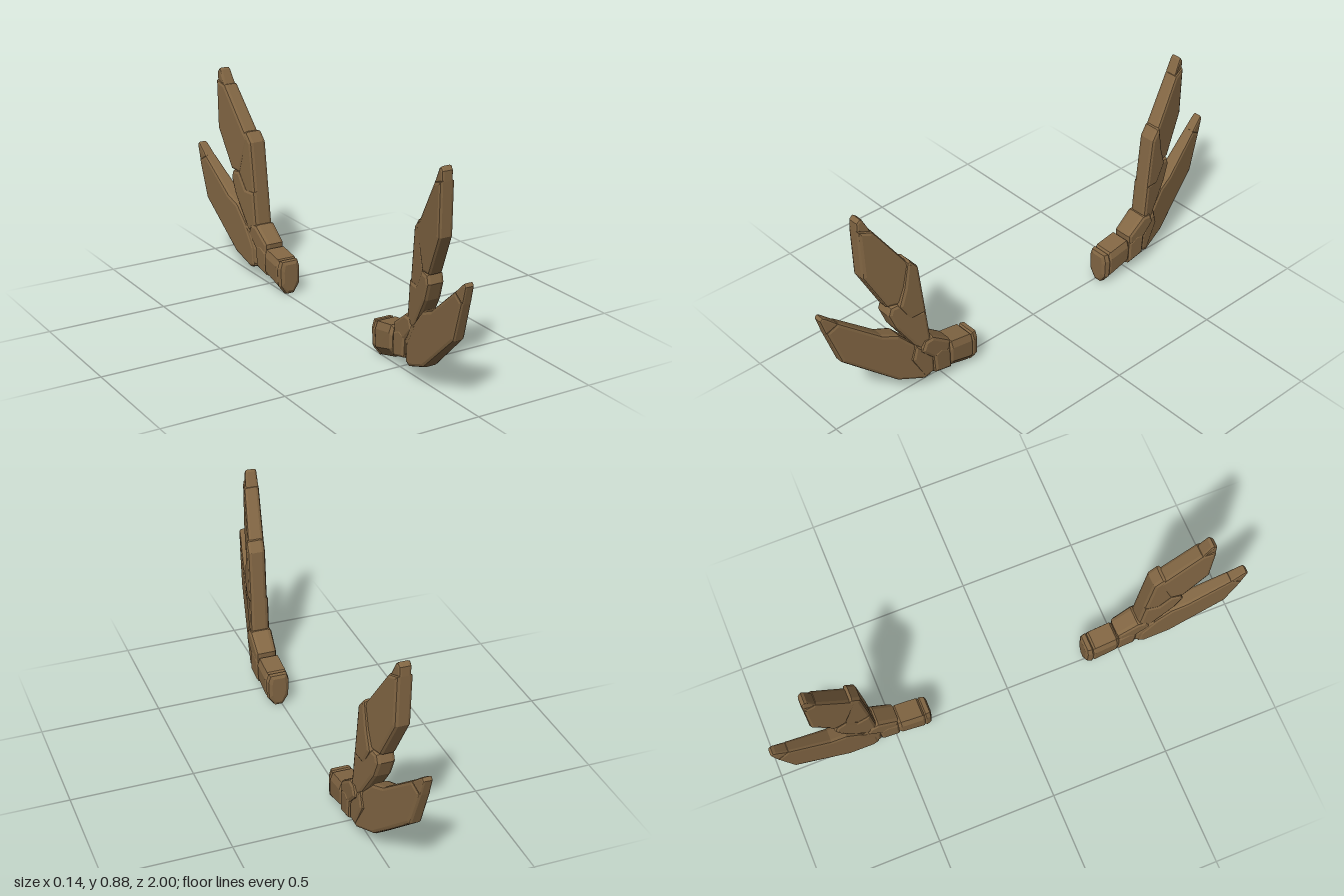
import * as THREE from 'three';
import { ConvexGeometry } from 'three/addons/geometries/ConvexGeometry.js';

const bark = new THREE.MeshStandardMaterial({ color: 0x836744 });
bark.name = 'brown shell';

// Bevelled plate: outline of [z, y] points; centre and half width in x run linearly in z.
// near and far are [z, centre, half width].
function plate(name, side, outline, near, far, bevel = 0.014) {
  const shape = new THREE.Shape(outline.map(([z, y]) => new THREE.Vector2(z * side, y)));
  const geo = new THREE.ExtrudeGeometry(shape, {
    depth: 1, bevelEnabled: true, bevelThickness: 0.35, bevelSize: bevel,
    bevelOffset: -bevel, bevelSegments: 2,
  });
  geo.translate(0, 0, -0.5);
  geo.rotateY(-Math.PI / 2);
  const p = geo.attributes.position;
  for (let i = 0; i < p.count; i++) {
    const t = (Math.abs(p.getZ(i)) - near[0]) / (far[0] - near[0]);
    const centre = THREE.MathUtils.lerp(near[1], far[1], t);
    const half = THREE.MathUtils.lerp(near[2], far[2], t);
    p.setX(i, centre + (p.getX(i) / 0.85) * half);
  }
  geo.computeVertexNormals();
  const mesh = new THREE.Mesh(geo, bark);
  mesh.name = name;
  return mesh;
}

// Block with a narrow keel, from sections of [z, bottom, top, half width].
function block(name, side, sections) {
  const pts = [];
  for (const [z, bottom, top, half] of sections) {
    for (const s of [-1, 1]) {
      for (const [k, y] of [[0.36, bottom], [0.95, bottom + 0.038], [1, top - 0.03], [0.8, top]]) {
        pts.push(new THREE.Vector3(0.015 + s * k * half, y, z * side));
      }
    }
  }
  const mesh = new THREE.Mesh(new ConvexGeometry(pts), bark);
  mesh.name = name;
  return mesh;
}

function limb(side) {
  const g = new THREE.Group();
  g.name = side > 0 ? 'frontLimb' : 'backLimb';

  // Root block and its end cap
  g.add(block('rootCap', side, [
    [0.343, 0.02, 0.135, 0.03], [0.35, 0.006, 0.148, 0.044], [0.368, 0.002, 0.15, 0.049], [0.376, 0.012, 0.14, 0.046],
  ]));
  g.add(block('rootBlock', side, [
    [0.37, 0.016, 0.138, 0.044], [0.382, 0.008, 0.152, 0.05], [0.475, 0.033, 0.168, 0.05], [0.488, 0.045, 0.155, 0.043],
  ]));

  // Joint pieces
  g.add(block('jointCore', side, [[0.46, 0.055, 0.14, 0.036], [0.6, 0.08, 0.2, 0.038]]));
  g.add(plate('jointLower', side,
    [[0.482, 0.045], [0.565, 0.065], [0.572, 0.16], [0.53, 0.175], [0.482, 0.15]],
    [0.48, 0.018, 0.046], [0.58, 0.018, 0.05]));
  g.add(plate('jointUpper', side,
    [[0.485, 0.14], [0.56, 0.13], [0.625, 0.2], [0.605, 0.245], [0.565, 0.248], [0.482, 0.185]],
    [0.48, 0.02, 0.044], [0.62, 0.015, 0.05]));

  // Upper arm
  g.add(plate('lowerStem', side,
    [[0.57, 0.22], [0.625, 0.205], [0.715, 0.35], [0.74, 0.42], [0.73, 0.455], [0.685, 0.46], [0.64, 0.39], [0.586, 0.39]],
    [0.57, 0.018, 0.042], [0.74, -0.012, 0.038]));
  g.add(plate('upperStem', side,
    [[0.584, 0.375], [0.655, 0.37], [0.7, 0.45], [0.675, 0.53], [0.655, 0.64], [0.64, 0.64], [0.608, 0.6]],
    [0.58, 0.018, 0.038], [0.7, 0.002, 0.04]));
  g.add(plate('upperBlade', side,
    [[0.685, 0.452], [0.738, 0.458], [0.822, 0.625], [0.826, 0.835], [0.772, 0.82], [0.65, 0.638], [0.625, 0.61]],
    [0.63, 0.008, 0.036], [0.82, -0.033, 0.032]));
  g.add(plate('upperTip', side,
    [[0.772, 0.815], [0.827, 0.832], [0.826, 0.87], [0.812, 0.885], [0.802, 0.878]],
    [0.77, -0.026, 0.028], [0.825, -0.034, 0.024], 0.008));

  // Lower arm
  g.add(plate('bladeSocket', side,
    [[0.562, 0.07], [0.605, 0.06], [0.66, 0.17], [0.64, 0.24], [0.605, 0.215], [0.562, 0.14]],
    [0.56, 0.016, 0.044], [0.66, 0.006, 0.044]));
  g.add(plate('lowerBlade', side,
    [[0.575, 0.06], [0.605, 0.048], [0.715, 0.09], [0.93, 0.278], [0.982, 0.44], [0.932, 0.47],
      [0.765, 0.335], [0.7, 0.308], [0.64, 0.24], [0.58, 0.14]],
    [0.6, 0.008, 0.043], [0.96, -0.05, 0.024]));
  g.add(plate('lowerTip', side,
    [[0.93, 0.465], [0.981, 0.435], [1.0, 0.505], [0.99, 0.517], [0.978, 0.51]],
    [0.93, -0.046, 0.025], [1.0, -0.055, 0.019], 0.008));
  return g;
}

export function createModel() {
  const model = new THREE.Group();
  model.name = 'clawPair';
  for (const side of [1, -1]) model.add(limb(side));
  return model;
}
